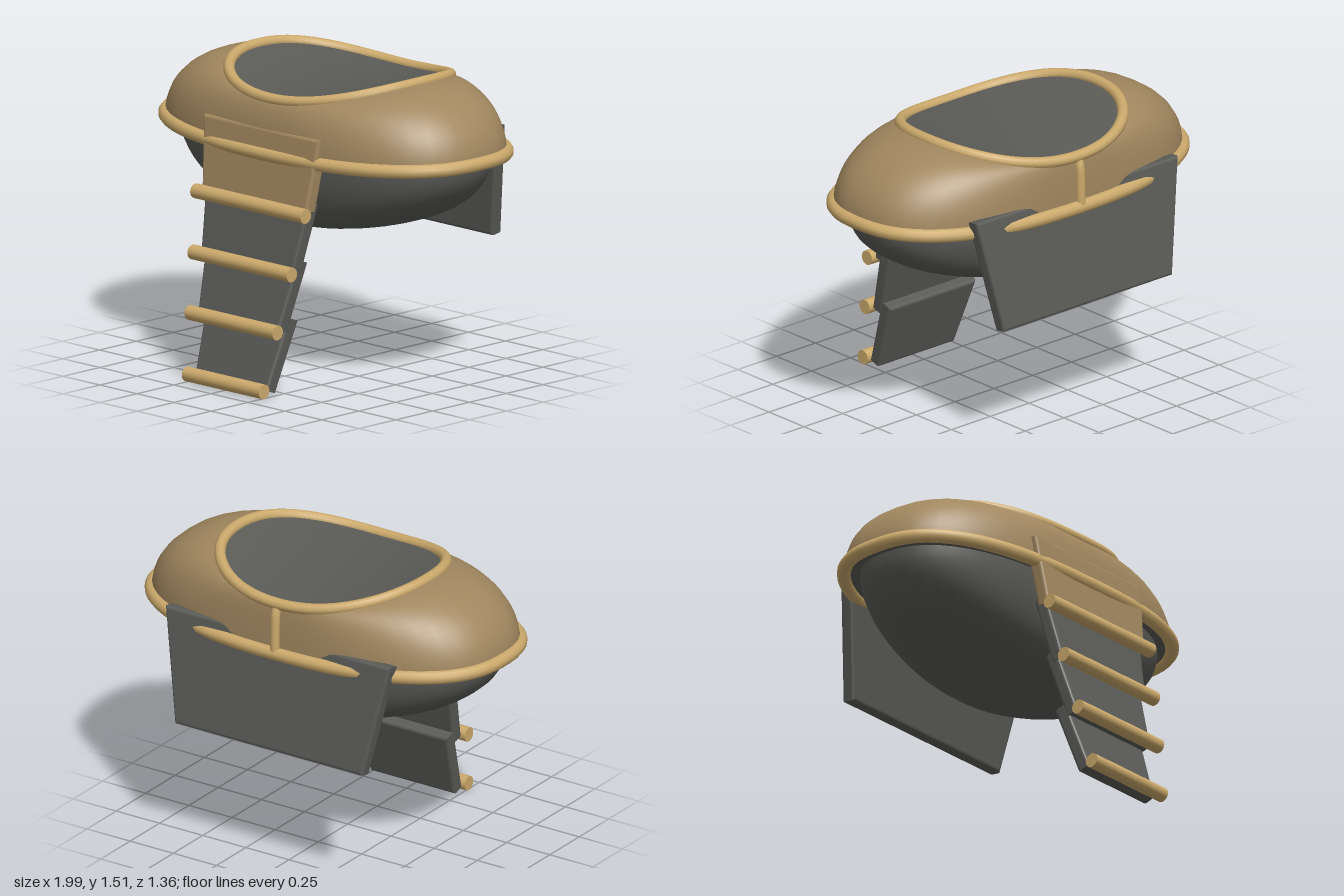
import * as THREE from 'three';

const mat = (name, color) => {
  const m = new THREE.MeshStandardMaterial({ color, side: THREE.DoubleSide });
  m.name = name;
  return m;
};

const SEG = 48;

// Point on a rounded oval (superellipse) in the xz plane
function oval(a, halfX, halfZ, centreZ, n) {
  const c = Math.cos(a), s = Math.sin(a);
  return [
    halfX * Math.sign(c) * Math.abs(c) ** (2 / n),
    centreZ + halfZ * Math.sign(s) * Math.abs(s) ** (2 / n),
  ];
}

// Closed skin over rings; point(t, angle) gives [x, y, z] for t from 0 to 1
function loft(rows, point) {
  const pos = [], idx = [];
  for (let i = 0; i <= rows; i++) {
    for (let j = 0; j < SEG; j++) pos.push(...point(i / rows, (j / SEG) * Math.PI * 2));
  }
  for (let i = 0; i < rows; i++) {
    for (let j = 0; j < SEG; j++) {
      const k = (j + 1) % SEG;
      const a = i * SEG + j, b = i * SEG + k, c = a + SEG, d = b + SEG;
      idx.push(a, c, b, b, c, d);
    }
  }
  const g = new THREE.BufferGeometry();
  g.setAttribute('position', new THREE.Float32BufferAttribute(pos, 3));
  g.setIndex(idx);
  g.computeVertexNormals();
  return g;
}

// Outline of the belt line and of the saddle-shaped opening
function beltPoint(a) {
  const [x, z] = oval(a, 0.965, 0.515, -0.1, 2.5);
  return [x, 1.128 + 0.024 * x * x, z];
}
function openingPoint(a) {
  const [x, z] = oval(a, 0.55, 0.475, -0.125, 2.2);
  return [x, 1.385 + 0.31 * x * x, z];
}

// Closed tube along an outline
function ringTube(point, radius) {
  const pts = [];
  for (let j = 0; j < SEG; j++) pts.push(new THREE.Vector3(...point((j / SEG) * Math.PI * 2)));
  return new THREE.TubeGeometry(new THREE.CatmullRomCurve3(pts, true), 96, radius, 10, true);
}

// Bevelled tapered board between a bottom and a top [y, z, halfWidth]
function board([y0, z0, w0], [y1, z1, w1], thick) {
  const h = Math.hypot(y1 - y0, z1 - z0) / 2, b = 0.015;
  const s = new THREE.Shape();
  s.moveTo(-w0 + b, -h + b);
  s.lineTo(w0 - b, -h + b);
  s.lineTo(w1 - b, h - b);
  s.lineTo(-w1 + b, h - b);
  s.closePath();
  const g = new THREE.ExtrudeGeometry(s, {
    depth: thick - 2 * b, bevelEnabled: true, bevelSize: b, bevelThickness: b, bevelSegments: 3,
  });
  g.translate(0, 0, -(thick - 2 * b) / 2);
  g.rotateX(Math.atan2(z1 - z0, y1 - y0));
  g.translate(0, (y0 + y1) / 2, (z0 + z1) / 2);
  return g;
}

export function createModel() {
  const group = new THREE.Group();
  const tan = mat('tan shell', 0xa1875f);
  const trim = mat('light tan trim', 0xcba96b);
  const dark = mat('dark grey', 0x5b5c58);
  const add = (name, geometry, material) => {
    const m = new THREE.Mesh(geometry, material);
    m.name = name;
    group.add(m);
    return m;
  };

  // Domed upper shell from the belt line to the opening
  add('upperShell', loft(14, (t, a) => {
    const p = beltPoint(a), q = openingPoint(a);
    const c = Math.cos(t * Math.PI / 2), s = Math.sin(t * Math.PI / 2);
    return [q[0] + (p[0] - q[0]) * c, p[1] + (q[1] - p[1]) * s, q[2] + (p[2] - q[2]) * c];
  }), tan);

  // Saddle-shaped panel filling the opening
  add('openingPanel', loft(10, (t, a) => {
    const [x, , z] = openingPoint(a);
    const k = 1 - t, px = x * k;
    return [px, 1.385 + 0.31 * px * px + 0.015 * (1 - k * k), -0.125 + (z + 0.125) * k];
  }), dark);

  // Rounded lower hull: tapers as a circle sideways, boxier front to back
  const hullPoint = (t, a) => {
    const c = Math.sin(t * Math.PI / 2), s = Math.cos(t * Math.PI / 2);
    const [x, z] = oval(a, 0.91 * c, 0.44 * c ** 0.42, -0.095, 2.4);
    return [x, 1.13 - 0.412 * s, z];
  };
  add('lowerHull', loft(18, hullPoint), dark);
  add('hullFlange', loft(1, (t, a) => (t ? beltPoint(a) : hullPoint(1, a))), dark);

  // Trim tubes and the rear connecting strap
  add('beltTrim', ringTube(beltPoint, 0.034), trim);
  add('openingTrim', ringTube(openingPoint, 0.028), trim);
  const strap = new THREE.CatmullRomCurve3([
    new THREE.Vector3(0, 1.385, -0.595),
    new THREE.Vector3(0, 1.33, -0.613),
    new THREE.Vector3(0, 1.24, -0.618),
    new THREE.Vector3(0, 1.13, -0.62),
  ]);
  add('rearStrap', new THREE.TubeGeometry(strap, 16, 0.024, 10), trim);

  // Hanging rear flap
  add('rearFlap', board([0.64, -0.645, 0.545], [1.205, -0.565, 0.65], 0.07), dark);

  // Front ramp of overlapping boards
  add('rampTop', board([0.9, 0.425, 0.355], [1.25, 0.375, 0.39], 0.07), tan);
  [
    [[0.605, 0.475, 0.312], [0.935, 0.4, 0.35]],
    [[0.315, 0.535, 0.275], [0.65, 0.435, 0.312]],
    [[0.02, 0.585, 0.245], [0.365, 0.465, 0.278]],
  ].forEach(([lo, hi], i) => add(`rampBoard${i + 1}`, board(lo, hi, 0.07), dark));

  // Round rungs: y, z, length
  [[0.89, 0.48, 0.745], [0.605, 0.537, 0.67], [0.323, 0.595, 0.595], [0.036, 0.65, 0.52]]
    .forEach(([y, z, length], i) => {
      const g = new THREE.CylinderGeometry(0.036, 0.036, length, 20);
      g.rotateZ(Math.PI / 2);
      add(`rung${i + 1}`, g, trim).position.set(0, y, z);
    });

  return group;
}
